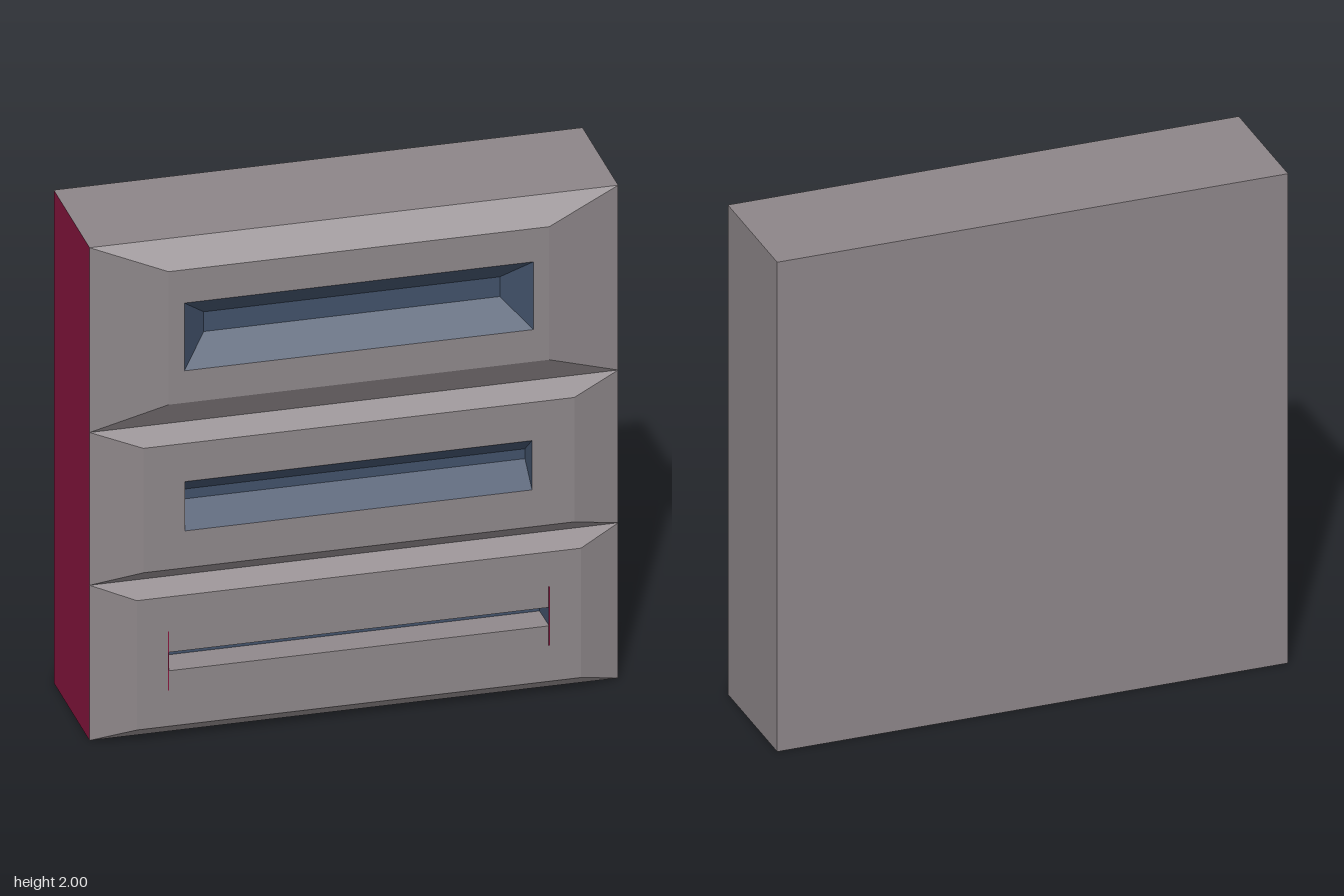
import * as THREE from 'three';

const makeMaterial = (color) => new THREE.MeshStandardMaterial({ color, flatShading: true, side: THREE.DoubleSide });

// Corners of a rectangle, counter-clockwise seen from the front
const corners = ([x0, x1, y0, y1], z) => [[x0, y0, z], [x1, y0, z], [x1, y1, z], [x0, y1, z]];

function quadMesh(name, quads, material) {
  const points = quads.flatMap(([a, b, c, d]) => [a, b, c, a, c, d]).flat();
  const geometry = new THREE.BufferGeometry();
  geometry.setAttribute('position', new THREE.Float32BufferAttribute(points, 3));
  geometry.computeVertexNormals();
  const mesh = new THREE.Mesh(geometry, material);
  mesh.name = name;
  return mesh;
}

// Four walls joining two rectangles: bottom, right end, top, left end
function walls(rectA, zA, rectB, zB) {
  const a = corners(rectA, zA), b = corners(rectB, zB);
  return a.map((p, i) => [p, a[(i + 1) % 4], b[(i + 1) % 4], b[i]]);
}

export function createModel() {
  const grey = makeMaterial(0x8c8588);
  const blue = makeMaterial(0x405068);
  const maroon = makeMaterial(0x84143c);
  const back = -0.285, seam = 0.215, front = 0.285, depth = 0.1;
  const model = new THREE.Group();
  model.name = 'chestOfDrawers';

  // Cabinet box, open at the front where the drawers close it
  const outline = [-1, 1, 0, 2];
  const [bottom, right, top, left] = walls(outline, back, outline, seam);
  model.add(quadMesh('cabinet', [bottom, right, top, corners(outline, back).reverse()], grey));
  model.add(quadMesh('cabinetSide', [left], maroon));

  // Drawers: rectangles as [x0, x1, y0, y1]
  const drawers = [
    { name: 'topDrawer', base: [-1, 1, 1.25, 2], face: [-0.72, 0.72, 1.36, 1.9],
      hole: [-0.66, 0.66, 1.49, 1.765], inner: [-0.56, 0.56, 1.59, 1.67] },
    { name: 'middleDrawer', base: [-1, 1, 0.63, 1.25], face: [-0.815, 0.815, 0.69, 1.195],
      hole: [-0.657, 0.655, 0.84, 1.04], inner: [-0.657, 0.655, 0.92, 0.96] },
    { name: 'bottomDrawer', base: [-1, 1, 0, 0.63], face: [-0.84, 0.84, 0.055, 0.58],
      hole: [-0.72, 0.72, 0.28, 0.355], inner: [-0.71, 0.71, 0.295, 0.335], slot: true },
  ];
  for (const { name, base, face, hole, inner, slot } of drawers) {
    const drawer = new THREE.Group();
    drawer.name = name;
    drawer.add(quadMesh('bevel', walls(base, seam, face, front), grey));
    drawer.add(quadMesh('facePanel', walls(face, front, hole, front), grey));
    const [floor, endA, ceiling, endB] = walls(hole, front, inner, front - depth);
    const backWall = corners(inner, front - depth);
    if (slot) {
      drawer.add(quadMesh('slotEnds', [endA, endB, backWall], blue));
      drawer.add(quadMesh('slotFloor', [floor], grey));
      drawer.add(quadMesh('slotCeiling', [ceiling], maroon));
    } else {
      drawer.add(quadMesh('gripRecess', [floor, endA, ceiling, endB, backWall], blue));
    }
    model.add(drawer);
  }

  // Fine upright trim at each end of the bottom slot
  for (const side of [-1, 1]) {
    const trim = new THREE.Mesh(new THREE.BoxGeometry(0.004, 0.24, 0.002), maroon);
    trim.name = 'slotTrim';
    trim.position.set(side * 0.72, 0.32, front);
    model.add(trim);
  }
  return model;
}
